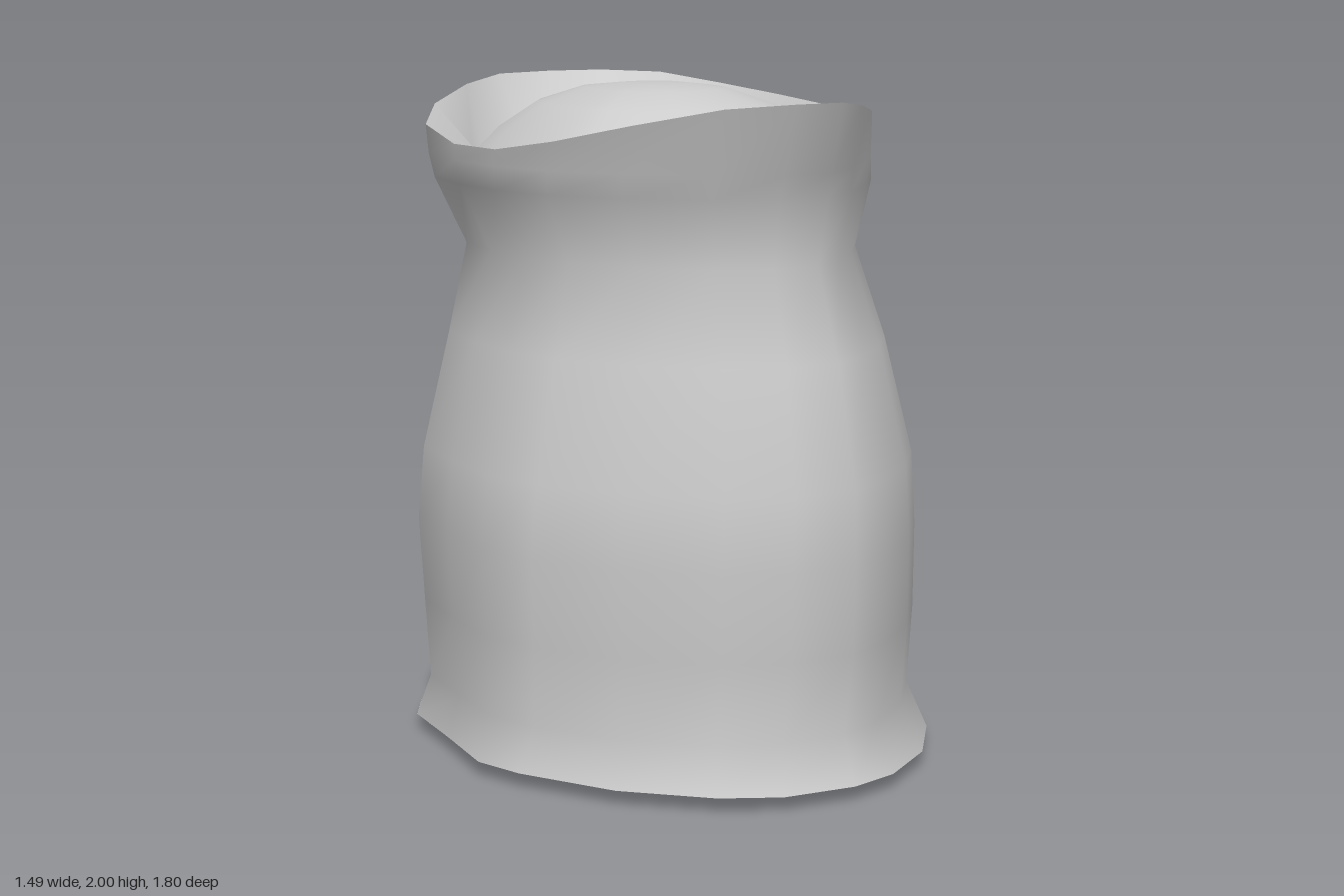
import * as THREE from 'three';

// Plan outlines as x, z pairs, starting at the back and running round by +x
const pairs = (a) => Array.from({ length: a.length / 2 }, (_, i) => [a[2 * i], a[2 * i + 1]]);
const BASE = pairs([
  0, -.9, .35, -.84, .55, -.68, .7, -.47, .74, -.3, .715, .02, .69, .33, .62, .48, .46, .7, .26, .85, .1, .9,
  -.13, .89, -.3, .81, -.52, .61, -.69, .33, -.745, .17, -.72, -.1, -.7, -.38, -.62, -.53, -.43, -.77, -.2, -.86]);
const RIM = pairs([
  .02, -.89, .2, -.87, .35, -.74, .47, -.55, .56, -.32, .57, 0, .51, .26, .45, .4, .33, .58, .2, .74, .07, .85,
  -.09, .87, -.27, .79, -.46, .6, -.6, .4, -.67, .17, -.685, -.08, -.66, -.34, -.55, -.52, -.37, -.68, -.19, -.82]);
const FILL = pairs([
  0, -.63, .2, -.59, .32, -.53, .39, -.49, .45, -.3, .47, -.05, .44, .16, .4, .3, .32, .39, .22, .48, .07, .54,
  -.09, .565, -.23, .53, -.4, .43, -.48, .32, -.53, .22, -.555, 0, -.53, -.22, -.49, -.38, -.38, -.55, -.2, -.61]);
const FILL_EDGE = 1.78, FILL_TOP = 2;

const lerp = THREE.MathUtils.lerp;
const blend = (a, b, t) => a.map((p, i) => [lerp(p[0], b[i][0], t), lerp(p[1], b[i][1], t)]);
const scaled = (a, s, cx = 0, cz = 0) => a.map(([x, z]) => [lerp(cx, x, s), lerp(cz, z, s)]);
const level = (a, y) => a.map(([x, z]) => [x, y, z]);
// The rim dips at both sides, deeper on the right-hand side (-x)
const rimHeight = (x, z) =>
  1.99 - (0.115 - 0.06 * x) * Math.max(0, 1 - ((z - 0.04) / 0.82) ** 2) ** 1.3;

// Stretch an outline to given extents
function fit(outline, x0, x1, z0, z1) {
  const xs = outline.map((p) => p[0]), zs = outline.map((p) => p[1]);
  const map = THREE.MathUtils.mapLinear;
  const [ax, bx, az, bz] = [Math.min(...xs), Math.max(...xs), Math.min(...zs), Math.max(...zs)];
  return outline.map(([x, z]) => [map(x, ax, bx, x0, x1), map(z, az, bz, z0, z1)]);
}

// Skin a stack of closed rings
function loft(name, rings) {
  const n = rings[0].length, index = [];
  for (let i = 0; i < rings.length - 1; i++) {
    for (let j = 0; j < n; j++) {
      const k = (j + 1) % n;
      const a = i * n + j, b = i * n + k, c = a + n, d = b + n;
      index.push(a, c, b, b, c, d);
    }
  }
  const geometry = new THREE.BufferGeometry();
  geometry.setAttribute('position', new THREE.Float32BufferAttribute(rings.flat(2), 3));
  geometry.setIndex(index);
  geometry.computeVertexNormals();
  const mesh = new THREE.Mesh(geometry,
    new THREE.MeshStandardMaterial({ color: 0xcccccc, side: THREE.DoubleSide }));
  mesh.name = name;
  return mesh;
}

export function createModel() {
  const group = new THREE.Group();
  group.name = 'sack';
  const rimRing = RIM.map(([x, z]) => [x, rimHeight(x, z), z]);

  // Outer cloth: height, x extents, z extents, blend towards the rim outline
  const levels = [
    [0.045, -.745, .74, -.9, .905, 0],
    [0.18, -.705, .695, -.83, .835, .35],
    [0.42, -.715, .71, -.86, .865, .45],
    [0.68, -.725, .718, -.885, .872, .5],
    [0.9, -.71, .7, -.86, .87, .55],
    [1.25, -.625, .62, -.8, .785, .65],
    [1.52, -.57, .53, -.745, .715, .75],
    [1.72, -.665, .59, -.81, .77, .85],
    [1.79, -.68, .59, -.84, .795, .95],
  ];
  const body = levels.map(([y, x0, x1, z0, z1, t]) => level(fit(blend(BASE, RIM, t), x0, x1, z0, z1), y));
  group.add(loft('clothBody', [...body, rimRing]));

  // Slightly rounded underside
  group.add(loft('underside', [
    level(scaled(BASE, 0), 0),
    level(scaled(BASE, 0.74), 0.005),
    level(BASE, 0.045),
  ]));

  // Inside of the open mouth, running down to the contents
  group.add(loft('mouthLining', [rimRing, level(FILL, FILL_EDGE)]));

  // Heaped contents
  const heap = [1, 0.85, 0.65, 0.4, 0.2, 0].map((s) =>
    level(scaled(FILL, s, -0.04, -0.04), lerp(FILL_TOP, FILL_EDGE, s ** 3)));
  group.add(loft('contents', heap));

  return group;
}
